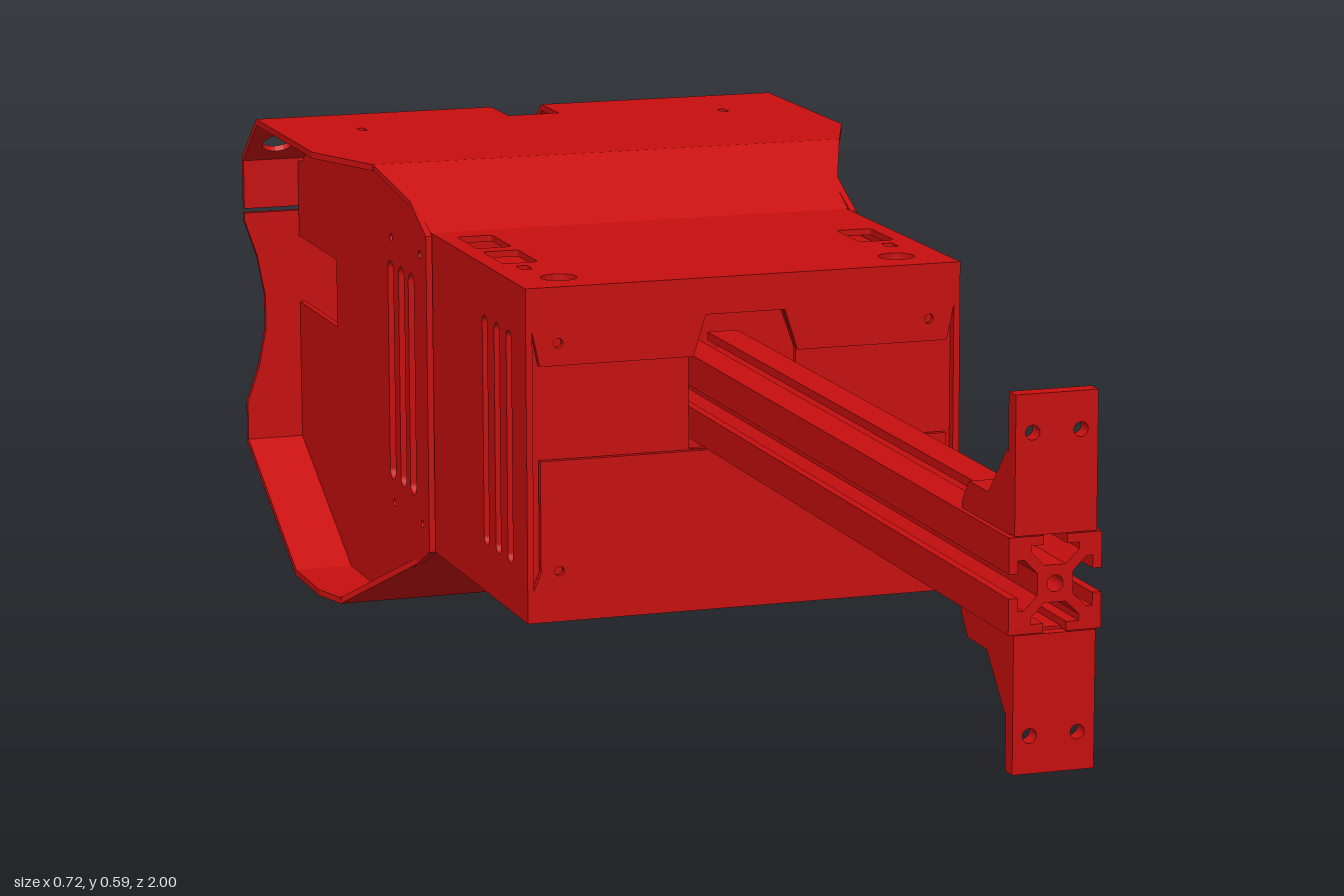
import * as THREE from 'three';

const T = 0.008; // sheet thickness
const RED = 0xc80f0f;

export function createModel() {
  const root = new THREE.Group();
  root.name = 'railMountedHousing';
  const mat = new THREE.MeshStandardMaterial({ color: RED, side: THREE.DoubleSide });
  const V = (x, y, z) => new THREE.Vector3(x, y, z);

  const add = (name, geo, parent = root) => {
    const mesh = new THREE.Mesh(geo, mat);
    mesh.name = name;
    parent.add(mesh);
    return mesh;
  };
  const box = (name, x0, x1, y0, y1, z0, z1) =>
    add(name, new THREE.BoxGeometry(x1 - x0, y1 - y0, z1 - z0)
      .translate((x0 + x1) / 2, (y0 + y1) / 2, (z0 + z1) / 2));

  const shapeOf = (pts, holes = []) => {
    const s = new THREE.Shape(pts.map(p => new THREE.Vector2(p[0], p[1])));
    s.holes.push(...holes);
    return s;
  };
  const round = (x, y, r) => new THREE.Path().absarc(x, y, r, 0, Math.PI * 2, true);
  // rounded slot or window of size w by h
  const slot = (x, y, w, h, r = w / 2) => {
    const p = new THREE.Path(), a = w / 2 - r, b = h / 2 - r;
    p.absarc(x + a, y + b, r, 0, Math.PI / 2);
    p.absarc(x - a, y + b, r, Math.PI / 2, Math.PI);
    p.absarc(x - a, y - b, r, Math.PI, Math.PI * 1.5);
    p.absarc(x + a, y - b, r, Math.PI * 1.5, Math.PI * 2);
    p.closePath();
    return p;
  };
  const extrude = (shape, depth) =>
    new THREE.ExtrudeGeometry(shape, { depth, bevelEnabled: false, curveSegments: 12 });

  // frame of a sheet running from p0 to p1, both [z, y]; its third axis points outward
  const frame = (p0, p1) => {
    const d = V(0, p1[1] - p0[1], p1[0] - p0[0]).normalize();
    const n = V(1, 0, 0).cross(d);
    return new THREE.Matrix4().makeBasis(V(1, 0, 0), d, n).setPosition(0, p0[1], p0[0]);
  };
  // sheet with outline [x, t], t going 0..1 along p0-p1; holes are given in length units
  const sheet = (name, p0, p1, pts, holes = []) => {
    const len = Math.hypot(p1[0] - p0[0], p1[1] - p0[1]);
    const geo = extrude(shapeOf(pts.map(([x, t]) => [x, t * len]), holes), T).translate(0, 0, -T);
    return add(name, geo.applyMatrix4(frame(p0, p1)));
  };
  const mirror = half => [...half, ...half.map(([x, t]) => [-x, t]).reverse()];

  // housing profile as [z, y]
  const A = [0.02, 0.515], B = [-0.38, 0.515], C = [-0.51, 0.583], D = [-0.92, 0.583],
    E = [-1, 0.52], F = [-1, 0.451], F2 = [-1, 0.445], G = [-1, 0.13],
    H = [-0.75, 0], I = [-0.58, 0], J = [-0.38, 0.108], K = [0.02, 0.108];

  // top sheets
  const topHoles = [slot(-0.23, 0.32, 0.045, 0.085, 0.006)];
  for (const s of [-1, 1]) topHoles.push(
    slot(s * 0.23, 0.21, 0.045, 0.085, 0.006),
    round(s * 0.215, 0.06, 0.022),
    slot(s * 0.235, 0.135, 0.014, 0.024, 0.003));
  sheet('frontTop', A, B, mirror([[0.275, 0], [0.275, 1]]), topHoles);
  sheet('topFlare', B, C, mirror([[0.285, 0], [0.285, 0.46], [0.313, 1]]));
  sheet('rearTop', C, D,
    mirror([[0.313, 0], [0.36, 0.293], [0.36, 1], [0.035, 1], [0.035, 0.805]]),
    [-1, 1].map(s => slot(s * 0.25, 0.28, 0.01, 0.022)));
  for (const s of [-1, 1]) sheet('rearChamfer', D, E,
    [[s * 0.035, 0], [s * 0.36, 0], [s * 0.36, 1], [s * 0.035, 1]], [round(s * 0.32, 0.054, 0.022)]);
  sheet('rearLip', E, F,
    [[0.36, 0], [0.36, 1], [-0.36, 1], [-0.36, 0], [-0.035, 0], [-0.035, 0.6], [0.035, 0.6], [0.035, 0]],
    [-1, 1].map(s => round(s * 0.25, 0.035, 0.006)));

  // back panel with scooped sides
  const scoop = [[0.36, 0.445], [0.36, 0.435], [0.343, 0.385], [0.333, 0.33], [0.333, 0.285],
    [0.343, 0.235], [0.36, 0.185], [0.36, 0.13]];
  sheet('backPanel', F2, G, mirror(scoop.map(([x, y]) => [x, (0.445 - y) / 0.315])));

  // bottom sheets
  const slope = Math.hypot(0.25, 0.13);
  sheet('speakerPanel', G, H, mirror([[0.36, 0], [0.36, 1]]), [round(0, slope / 2, 0.1)]);
  sheet('rearBottom', H, I, mirror([[0.36, 0], [0.36, 0.7], [0.345, 1]]));
  sheet('bottomFlare', I, J, mirror([[0.345, 0], [0.285, 0.76], [0.285, 1]]));
  sheet('frontBottom', J, K, mirror([[0.275, 0], [0.275, 1]]));

  // inner tray seen through the top cutouts
  box('innerTray', -0.265, 0.265, 0.488, 0.494, -0.36, -0.01);

  // side plates
  const frontSide = [[0.02, 0.11], [0.02, 0.513], [-0.38, 0.513], [-0.38, 0.11]];
  const rearSide = [[-0.37, 0.11], [-0.37, 0.513], [-0.51, 0.577], [-0.92, 0.577], [-0.915, 0.55],
    [-0.975, 0.512], [-0.993, 0.512], [-0.993, 0.41], [-0.8, 0.41], [-0.8, 0.32], [-0.993, 0.32],
    [-0.993, 0.135], [-0.75, 0.006], [-0.58, 0.006]];
  const toSide = x => new THREE.Matrix4().makeBasis(V(0, 0, 1), V(0, 1, 0), V(-1, 0, 0)).setPosition(x, 0, 0);
  for (const s of [-1, 1]) {
    const vents = [-0.05, -0.1, -0.15].map(z => slot(z, 0.31, 0.021, 0.285));
    const rearVents = [-0.44, -0.485, -0.535].map(z => slot(z, 0.312, 0.026, 0.285));
    for (const z of [-0.4, -0.53]) for (const y of [0.14, 0.485]) rearVents.push(round(z, y, 0.005));
    add('frontSidePlate', extrude(shapeOf(frontSide, vents), T).applyMatrix4(toSide(s * 0.271 + T / 2)));
    add('rearSidePlate', extrude(shapeOf(rearSide, rearVents), T).applyMatrix4(toSide(s * 0.281 + T / 2)));
  }
  // equipment block behind the rear vents
  box('innerBlock', -0.26, 0.26, 0.13, 0.44, -0.56, -0.41);

  // front wall with the rail opening, and two raised cover panels
  sheet('frontWall', [0.008, 0.11], [0.008, 0.513],
    [[-0.27, 0], [0.27, 0], [0.27, 1], [-0.27, 1]],
    [new THREE.Path([[-0.068, 0.195], [-0.068, 0.31], [-0.05, 0.36], [0.05, 0.36], [0.068, 0.31], [0.068, 0.195]]
      .map(p => new THREE.Vector2(...p)))]);
  sheet('lowerFrontCover', [0.02, 0.112], [0.02, 0.305],
    mirror([[0.27, 0], [0.27, 0.15], [0.258, 0.3], [0.258, 1]]),
    [-1, 1].map(s => round(s * 0.235, 0.058, 0.006)));
  sheet('upperFrontCover', [0.02, 0.42], [0.02, 0.513],
    [...[[0.258, 0], [0.27, 0.6], [0.27, 1]], [-0.27, 1], [-0.27, 0.6], [-0.258, 0],
      [-0.066, 0], [-0.05, 0.54], [0.05, 0.54], [0.066, 0]],
    [-1, 1].map(s => round(s * 0.235, 0.027, 0.006)));

  // stepped latch inside the notch at the top rear
  const latch = [[-0.84, 0.575], [-0.84, 0.55], [-0.9, 0.53], [-0.9, 0.5], [-0.96, 0.49],
    [-0.96, 0.46], [-0.99, 0.46], [-0.99, 0.45], [-0.83, 0.45], [-0.83, 0.575]];
  add('rearLatch', extrude(shapeOf(latch), 0.07).applyMatrix4(toSide(0.035)));

  // round speaker on the sloped underside
  const speaker = new THREE.Group();
  speaker.name = 'speaker';
  const f = frame(G, H);
  const n = V(0, 0, 0).setFromMatrixColumn(f, 2);
  speaker.position.set(0, 0.065, -0.875);
  speaker.quaternion.setFromUnitVectors(V(0, 1, 0), n);
  root.add(speaker);
  const lathe = pts => new THREE.LatheGeometry(pts.map(p => new THREE.Vector2(...p)), 40);
  add('speakerRim', lathe([[0.115, 0], [0.115, 0.012], [0.108, 0.02], [0.092, 0.02], [0.088, 0.012]]), speaker);
  add('speakerSurround', new THREE.TorusGeometry(0.078, 0.011, 8, 40).rotateX(Math.PI / 2).translate(0, 0.008, 0), speaker);
  add('speakerCone', lathe([[0.09, 0.006], [0.068, 0.006], [0.034, -0.025]]), speaker);
  add('speakerDome', new THREE.SphereGeometry(0.036, 24, 8, 0, Math.PI * 2, 0, Math.PI / 2)
    .scale(1, 0.6, 1).translate(0, -0.025, 0), speaker);

  // slotted square rail: one side profile turned four times
  const h = 0.052, side = [[h, -h], [h, -0.013], [0.042, -0.013], [0.042, -0.027], [0.035, -0.027], [0.02, -0.012],
    [0.02, 0.012], [0.035, 0.027], [0.042, 0.027], [0.042, 0.013], [h, 0.013]];
  const rail = [];
  for (let i = 0; i < 4; i++) {
    const c = Math.round(Math.cos(i * Math.PI / 2)), s = Math.round(Math.sin(i * Math.PI / 2));
    for (const [x, y] of side) rail.push([x * c - y * s, x * s + y * c]);
  }
  add('rail', extrude(shapeOf(rail, [round(0, 0, 0.009)]), 1.16).translate(0, 0.36, -0.16));

  // end brackets above and below the rail
  const gusset = [[0.985, 0.05], [0.985, 0.14], [0.975, 0.14], [0.925, 0.085], [0.87, 0.085], [0.85, 0.06], [0.85, 0.05]];
  for (const s of [-1, 1]) {
    const bracket = new THREE.Group();
    bracket.name = s > 0 ? 'upperBracket' : 'lowerBracket';
    bracket.position.y = 0.36;
    root.add(bracket);
    const flip = pts => pts.map(([a, b]) => [a, s * b]);
    add('bracketPlate', extrude(shapeOf(
      flip([[-0.046, 0.053], [0.046, 0.053], [0.046, 0.203], [-0.046, 0.203]]),
      [-1, 1].map(k => round(k * 0.027, s * 0.162, 0.008))), 0.02).translate(0, 0, 0.98), bracket);
    add('bracketGusset', extrude(shapeOf(flip(gusset)), 0.092).applyMatrix4(toSide(0.046)), bracket);
  }
  return root;
}
